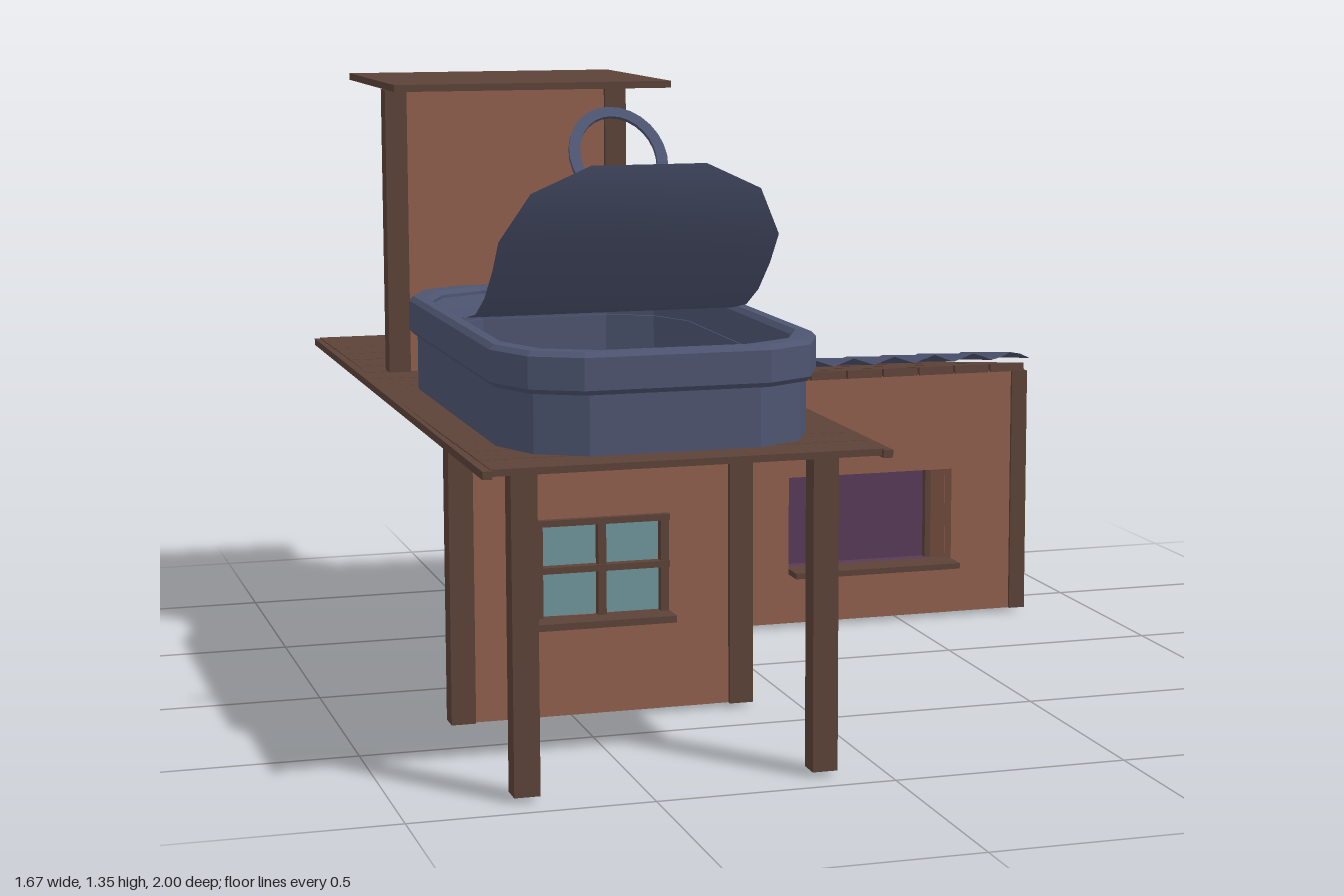
import * as THREE from 'three';

const mat = (color, extra = {}) => new THREE.MeshStandardMaterial({ color, flatShading: true, ...extra });
const wood = mat(0x8f5f4d), dark = mat(0x5c4238), blue = mat(0x4d5470);
const sheet = mat(0x4d5470, { side: THREE.DoubleSide });
const lidBlue = mat(0x4d5470, { side: THREE.DoubleSide, flatShading: false });
const purple = mat(0x583a58), glass = mat(0x6f959b);

// Repeatable small irregularity, -1..1
const jitter = (i) => Math.sin(i * 12.9898 + 1.3);

// Box given by its limits on each axis
function box(parent, name, material, x0, x1, y0, y1, z0, z1) {
  const m = new THREE.Mesh(new THREE.BoxGeometry(x1 - x0, y1 - y0, z1 - z0), material);
  m.position.set((x0 + x1) / 2, (y0 + y1) / 2, (z0 + z1) / 2);
  m.name = name;
  parent.add(m);
  return m;
}

// Vertical planks between the given edges, cut around openings [a, b, y0, y1]
function plankWall(parent, name, edges, y0, top, openings = []) {
  const wall = new THREE.Group();
  wall.name = name;
  for (let i = 0; i < edges.length - 1; i++) {
    const a = edges[i], b = edges[i + 1], mid = (a + b) / 2;
    const pieces = [];
    let low = y0;
    for (const o of openings) {
      if (mid < o[0] || mid > o[1]) continue;
      if (o[2] > low) pieces.push([low, o[2], o[2]]);
      low = o[3];
    }
    pieces.push([low, top(a), top(b)]);
    for (const [y, ya, yb] of pieces) {
      const s = new THREE.Shape([[a, y], [b, y], [b, yb], [a, ya]].map((p) => new THREE.Vector2(...p)));
      const m = new THREE.Mesh(new THREE.ExtrudeGeometry(s, { depth: 0.02, bevelEnabled: false }), wood);
      m.position.z = -0.01 + 0.002 * jitter(i);
      m.name = 'plank';
      wall.add(m);
    }
  }
  parent.add(wall);
  return wall;
}

// Same wall turned to face +x; its edges are measured along -z
function sideWall(parent, name, x, ...args) {
  const wall = plankWall(parent, name, ...args);
  wall.rotation.y = Math.PI / 2;
  wall.position.x = x;
}

function addDeck(g) {
  const n = 19, z0 = -0.96, pitch = 1.95 / n;
  for (let i = 0; i < n; i++) {
    const d = 0.0015 * jitter(i), e = 0.004 * jitter(i + 40);
    box(g, 'deckBoard', dark, -0.825 + e, -0.025 + e, 0.663 + d, 0.677 + d, z0 + i * pitch, z0 + (i + 1) * pitch - 0.001);
  }
  for (const x of [-0.84, -0.03]) box(g, 'deckEdge', dark, x, x + 0.02, 0.66, 0.676, -0.965, 0.998);
  for (const x of [-0.77, -0.153]) box(g, 'deckPost', dark, x, x + 0.053, 0.01, 0.663, 0.88, 0.93);
}

function addCabin(g) {
  // Front wall with window
  const win = [-0.575, -0.305, 0.23, 0.43];
  const front = plankWall(g, 'cabinFrontWall', [-0.765, -0.69, -0.575, -0.44, -0.305, -0.19, -0.11], 0.01, () => 0.662, [win]);
  front.position.z = 0.335;
  box(g, 'windowGlass', glass, win[0], win[1], win[2], win[3], 0.328, 0.338);
  for (const x of [-0.59, -0.45, -0.31]) box(g, 'windowUpright', dark, x, x + 0.018, 0.225, 0.44, 0.33, 0.36);
  for (const y of [0.327, 0.43]) box(g, 'windowBar', dark, -0.595, -0.29, y, y + 0.014, 0.33, 0.362);
  box(g, 'windowSill', dark, -0.595, -0.29, 0.215, 0.23, 0.33, 0.415);
  for (const x of [-0.775, -0.153]) box(g, 'cabinPost', dark, x, x + 0.053, 0.01, 0.662, 0.305, 0.357);
  // Side wall with door
  sideWall(g, 'cabinSideWall', -0.115, [-0.31, -0.14, 0, 0.145, 0.31, 0.36], 0.01, () => 0.662, [[-0.14, 0.145, 0.01, 0.37]]);
  box(g, 'door', dark, -0.125, -0.108, 0.01, 0.356, -0.13, 0.125);
  for (const z of [-0.145, 0.125]) box(g, 'doorJamb', dark, -0.128, -0.1, 0.01, 0.37, z, z + 0.016);
  box(g, 'doorLintel', dark, -0.128, -0.1, 0.356, 0.373, -0.145, 0.141);
}

function addTower(g) {
  const x = -0.215, y0 = 0.677, y1 = 1.33;
  const front = plankWall(g, 'towerFrontWall', [-0.75, -0.63, -0.49, -0.36, -0.22], y0, () => y1);
  front.position.z = -0.345;
  const windows = [[0.49, 0.62, 0.8, 0.925], [0.49, 0.62, 1.13, 1.255]];
  sideWall(g, 'towerSideWall', x, [0.36, 0.49, 0.62, 0.73], y0, () => y1, windows);
  for (const [px, pz] of [[-0.77, -0.372], [-0.25, -0.372], [-0.25, -0.755]]) {
    box(g, 'towerPost', dark, px, px + 0.05, y0, y1, pz, pz + 0.05);
  }
  // Louvred windows
  windows.forEach(([a, b, lo, hi], k) => {
    box(g, 'louvreGlass', glass, x - 0.006, x + 0.002, lo, hi, -b, -a);
    for (let i = 0; i < 5; i++) {
      const y = lo + 0.012 + i * 0.025;
      const slat = box(g, 'louvreSlat', dark, x + 0.002, x + 0.018, y - 0.004, y + 0.004, -b, -a);
      slat.rotation.x = 0.07 * jitter(i + 7 * k);
    }
  });
  box(g, 'towerLedge', dark, x, -0.13, 0.995, 1.008, -0.75, -0.32);
  box(g, 'towerRoof', dark, -0.765, -0.115, 1.33, 1.346, -0.815, -0.232);
}

// Long outline with two-step chamfered corners
function tinOutline(w, l, Type = THREE.Shape) {
  const corner = [[w, l - 0.17], [w - 0.05, l - 0.055], [w - 0.15, l]];
  const back = [...corner].reverse();
  const pts = [
    ...corner, ...back.map(([x, z]) => [-x, z]),
    ...corner.map(([x, z]) => [-x, -z]), ...back.map(([x, z]) => [x, -z]),
  ];
  return new Type(pts.map((p) => new THREE.Vector2(...p)));
}

function addTin(g) {
  const tin = new THREE.Group();
  tin.name = 'tin';
  const part = (name, w, l, y0, y1, hole, bevel = 0) => {
    const s = tinOutline(w, l);
    if (hole) s.holes.push(tinOutline(w - hole, l - hole, THREE.Path));
    const geo = new THREE.ExtrudeGeometry(s, {
      depth: y1 - y0 - 2 * bevel, bevelEnabled: bevel > 0, bevelSegments: 1,
      bevelSize: bevel, bevelThickness: bevel, bevelOffset: -bevel,
    });
    geo.rotateX(-Math.PI / 2);
    const m = new THREE.Mesh(geo, blue);
    m.name = name;
    m.position.set(-0.43, y0 + bevel, 0.34);
    tin.add(m);
  };
  part('tinFloor', 0.31, 0.55, 0.678, 0.69);
  part('tinWall', 0.325, 0.565, 0.678, 0.81, 0.03);
  part('tinRim', 0.34, 0.585, 0.8, 0.885, 0.042, 0.01);

  // Peeled lid: half width, z and y of each cross-section
  const rows = [
    [0.15, -0.21, 0.868], [0.245, -0.16, 0.868], [0.297, -0.05, 0.868], [0.297, 0.22, 0.87],
    [0.295, 0.325, 0.884], [0.295, 0.42, 0.902], [0.295, 0.507, 0.945], [0.295, 0.587, 1.01],
    [0.295, 0.646, 1.075], [0.24, 0.698, 1.175], [0.12, 0.716, 1.23],
  ];
  const geo = new THREE.PlaneGeometry(1, 1, 2, rows.length - 1);
  const p = geo.attributes.position;
  for (let i = 0; i < p.count; i++) {
    const [w, z, y] = rows[Math.floor(i / 3)];
    p.setXYZ(i, -0.43 + (i % 3 - 1) * w, y, z);
  }
  geo.computeVertexNormals();
  const lid = new THREE.Mesh(geo, lidBlue);
  lid.name = 'tinLid';
  tin.add(lid);

  // Oval pull ring
  const oval = new THREE.Shape().absellipse(0, 0, 0.103, 0.124, 0, Math.PI * 2);
  oval.holes.push(new THREE.Path().absellipse(0, 0, 0.08, 0.1, 0, Math.PI * 2));
  const ring = new THREE.Mesh(new THREE.ExtrudeGeometry(oval, { depth: 0.008, bevelEnabled: false, curveSegments: 14 }), blue);
  ring.position.set(-0.45, 1.23, 0.547);
  ring.rotation.x = -Math.atan2(0.155, 0.193);
  ring.name = 'pullRing';
  tin.add(ring);
  g.add(tin);
}

function addAnnex(g) {
  const slope = 0.09 / 0.67;
  const roofY = (z) => 0.645 + (z + 0.33) * slope;
  const top = (u) => roofY(-u) - 0.03;
  // Walls, floor and serving hatch
  const front = plankWall(g, 'annexFrontWall', [-0.03, 0.115, 0.21, 0.35, 0.48, 0.635, 0.79], 0.01,
    () => 0.612, [[0.21, 0.635, 0.14, 0.372]]);
  front.position.z = -0.352;
  const sideEdges = [0.37, 0.48, 0.59, 0.71, 0.83, 0.95];
  sideWall(g, 'annexOuterWall', 0.815, sideEdges, 0.01, top);
  sideWall(g, 'annexInnerWall', -0.055, sideEdges, 0.01, top);
  box(g, 'annexBackWall', purple, -0.04, 0.81, 0.01, 0.555, -0.968, -0.955);
  box(g, 'annexFloor', purple, -0.05, 0.81, 0.01, 0.02, -0.965, -0.36);
  box(g, 'hatchShelf', dark, 0.21, 0.635, 0.132, 0.146, -0.365, -0.28);
  box(g, 'annexPost', dark, -0.078, -0.02, 0, 0.655, -0.385, -0.325);
  box(g, 'annexPost', dark, 0.79, 0.83, 0.01, 0.61, -0.385, -0.335);
  for (const x of [-0.078, 0.79]) box(g, 'annexPost', dark, x, x + 0.04, 0.01, 0.55, -0.975, -0.935);

  // Sloping boards under the roof
  for (let i = 0; i < 9; i++) {
    const x = -0.02 + i * 0.094, z = -0.662 + 0.006 * jitter(i);
    const b = box(g, 'roofBoard', dark, x, x + 0.088, -0.01, 0.01, -0.333, 0.333);
    b.position.set(x + 0.046, roofY(z) - 0.024, z);
    b.rotation.x = -Math.atan(slope);
  }

  // Corrugated sheets, the front row lapping over the back row
  const xs = [-0.015, 0.14, 0.375, 0.61, 0.835];
  for (let row = 0; row < 2; row++) {
    for (let c = 0; c < 4; c++) {
      const w = xs[c + 1] - xs[c], z0 = row ? -0.33 : -0.655;
      const geo = new THREE.PlaneGeometry(w, 0.335, Math.round(w / 0.026), 1);
      geo.rotateX(-Math.PI / 2);
      const p = geo.attributes.position;
      for (let i = 0; i < p.count; i++) {
        const x = p.getX(i) + (xs[c] + xs[c + 1]) / 2;
        const z = z0 - 0.1675 + p.getZ(i) + 0.004 * jitter(c + 5 * row);
        const y = roofY(z) + 0.009 * Math.cos((x - 0.063) / 0.104 * Math.PI * 2) + row * 0.005 + 0.002 * jitter(c + row);
        p.setXYZ(i, x, y, z);
      }
      geo.computeVertexNormals();
      const m = new THREE.Mesh(geo, sheet);
      m.name = 'roofSheet';
      g.add(m);
    }
  }
}

export function createModel() {
  const g = new THREE.Group();
  g.name = 'beachHut';
  for (const [name, build] of Object.entries({ deck: addDeck, cabin: addCabin, tower: addTower, openTin: addTin, annex: addAnnex })) {
    const part = new THREE.Group();
    part.name = name;
    build(part);
    g.add(part);
  }
  return g;
}
